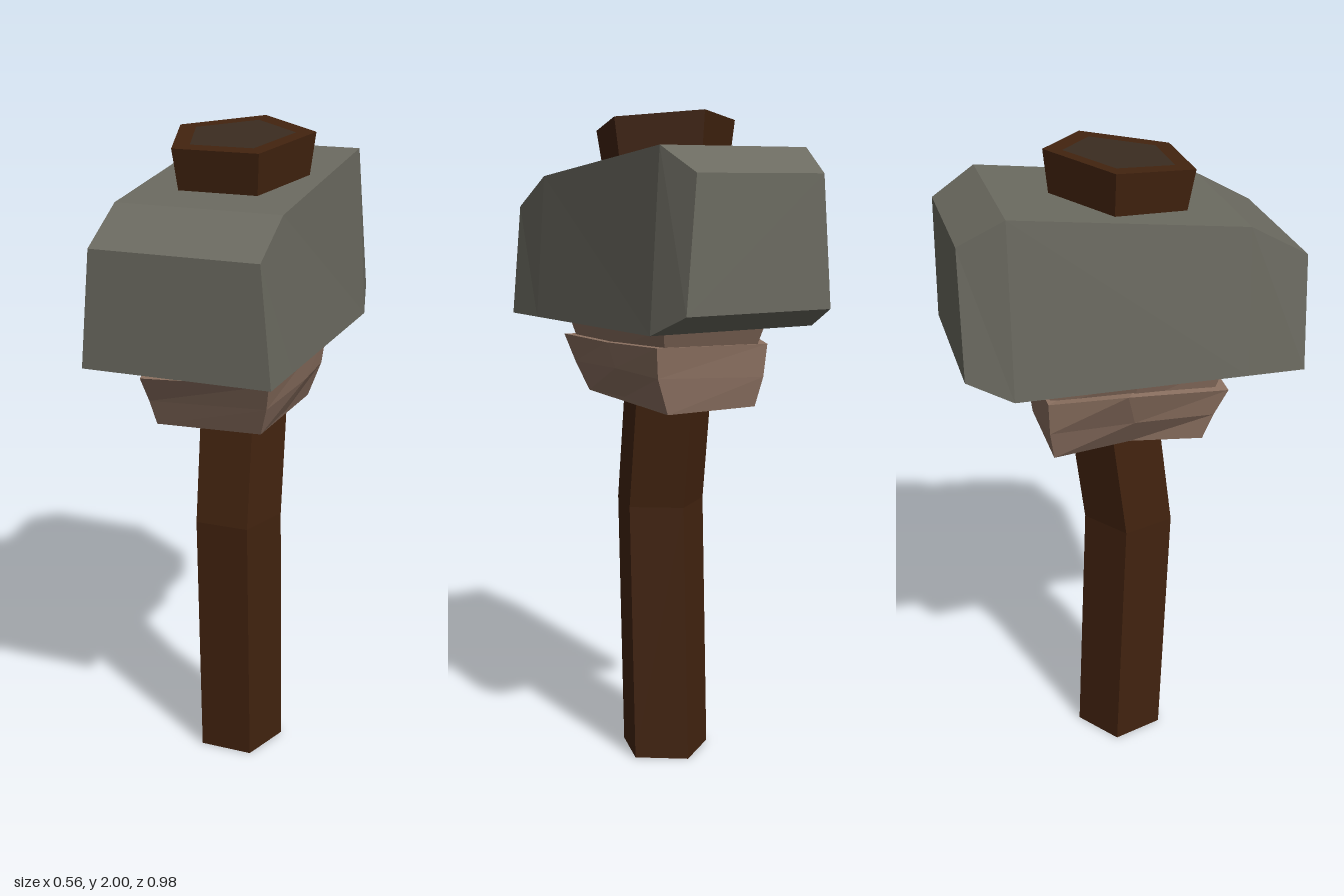
import * as THREE from 'three';

// Flat-shaded skin through rings of [x, y, z] points, with closed ends on request
function loft(name, rings, color, capStart = true, capEnd = true) {
  const pos = [];
  const tri = (a, b, c) => pos.push(...a, ...b, ...c);
  const n = rings[0].length;
  for (let r = 0; r < rings.length - 1; r++) {
    for (let i = 0; i < n; i++) {
      const j = (i + 1) % n;
      const a = rings[r][i], b = rings[r][j], c = rings[r + 1][j], d = rings[r + 1][i];
      tri(a, b, c);
      tri(a, c, d);
    }
  }
  const first = rings[0], last = rings[rings.length - 1];
  for (let i = 1; i < n - 1; i++) {
    if (capStart) tri(first[0], first[i + 1], first[i]);
    if (capEnd) tri(last[0], last[i], last[i + 1]);
  }
  const geometry = new THREE.BufferGeometry();
  geometry.setAttribute('position', new THREE.Float32BufferAttribute(pos, 3));
  geometry.computeVertexNormals();
  const mesh = new THREE.Mesh(geometry, new THREE.MeshStandardMaterial({ color, flatShading: true }));
  mesh.name = name;
  return mesh;
}

// Pentagon with its point to the back; tilt raises the back edge
function pentagon(radius, y, cz, tilt = 0) {
  return Array.from({ length: 5 }, (_, i) => {
    const a = -0.3 * Math.PI + i * 0.4 * Math.PI;
    const z = -radius * Math.sin(a);
    return [radius * Math.cos(a), y - z * tilt, cz + z];
  });
}

export function createModel() {
  const group = new THREE.Group();
  const wood = 0x42230f, stone = 0x6b6a60, cloth = 0x8b7060;

  // Bent five-sided handle
  group.add(loft('handle', [
    pentagon(0.142, 0, 0.014),
    pentagon(0.142, 0.81, 0.043),
    pentagon(0.142, 1.15, 0),
    pentagon(0.142, 1.5, -0.045),
  ], wood));

  // Tapered stone head, sections from back to front: z, bottom, top, half widths
  const section = ([z, yb, yt, wb, wt]) => [[wb, yb, z], [wt, yt, z], [-wt, yt, z], [-wb, yb, z]];
  group.add(loft('head', [
    [-0.49, 1.44, 1.82, 0.245, 0.213],
    [-0.36, 1.38, 1.895, 0.28, 0.248],
    [0.32, 1.38, 1.815, 0.28, 0.248],
    [0.49, 1.38, 1.72, 0.28, 0.248],
  ].map(section), stone));

  // Rough wrapping under the head: a lower bundle and a narrower upper band
  group.add(loft('lowerBinding', [
    [[0.15, 1.15, 0.22], [0.15, 1.155, 0], [0.14, 1.13, -0.23],
      [-0.17, 1.13, -0.23], [-0.17, 1.155, 0], [-0.18, 1.14, 0.22]],
    [[0.18, 1.24, 0.255], [0.2, 1.25, -0.03], [0.18, 1.24, -0.24],
      [-0.19, 1.22, -0.245], [-0.22, 1.24, 0], [-0.19, 1.22, 0.25]],
    [[0.2, 1.325, 0.29], [0.21, 1.325, 0], [0.19, 1.33, -0.25],
      [-0.2, 1.32, -0.25], [-0.26, 1.345, -0.03], [-0.2, 1.3, 0.29]],
  ], cloth));
  group.add(loft('upperBinding', [
    [[0.17, 1.3, 0.25], [0.19, 1.3, 0], [0.15, 1.3, -0.23],
      [-0.17, 1.3, -0.23], [-0.22, 1.3, 0], [-0.18, 1.29, 0.25]],
    [[0.19, 1.39, 0.28], [0.22, 1.39, 0], [0.18, 1.39, -0.27],
      [-0.18, 1.39, -0.27], [-0.25, 1.39, 0], [-0.2, 1.39, 0.28]],
  ], cloth));

  // Tilted wooden cap on top, with a darker inset end
  const inner = pentagon(0.163, 1.973, 0.012, 0.125);
  group.add(loft('cap', [
    pentagon(0.203, 1.847, 0.01, 0.12),
    pentagon(0.222, 1.973, 0.015, 0.125),
    inner,
  ], wood, true, false));
  group.add(loft('capInset', [inner], 0x3a2c20, false, true));

  return group;
}
